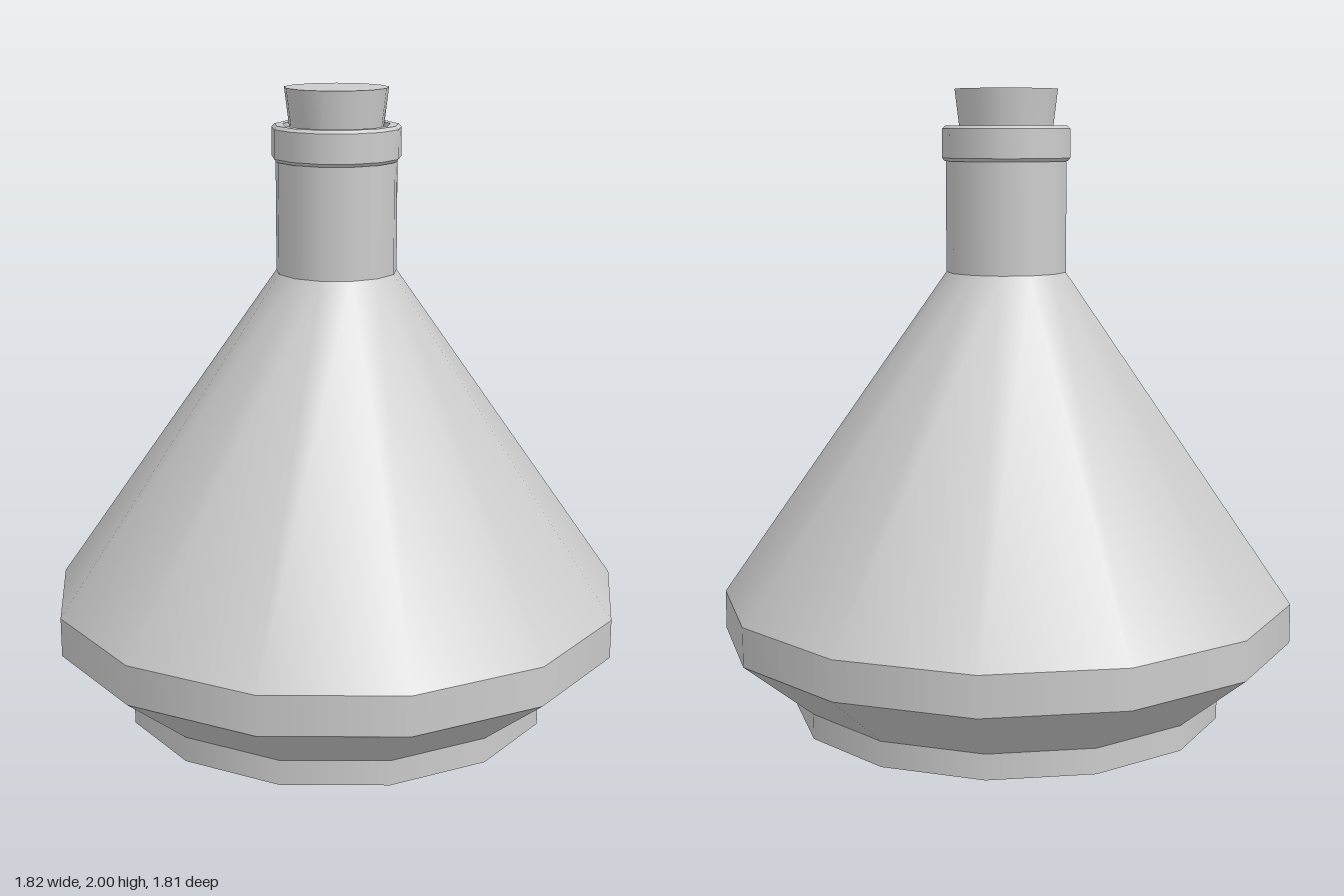
import * as THREE from 'three';

const SIDES = 13;

export function createModel() {
  const grey = new THREE.MeshStandardMaterial({ color: 0xcccccc });
  grey.name = 'plain grey';
  const flask = new THREE.Group();
  flask.name = 'flask';

  // One 13-sided tapered band with a corner at the back; every ring is
  // shifted slightly so that its depth is centred on z = 0.
  function band(parent, name, r0, y0, r1, y1) {
    const h = y1 - y0;
    const geo = new THREE.CylinderGeometry(r1, r0, h, SIDES, 1, true, Math.PI);
    geo.translate(0, (y0 + y1) / 2, 0);
    const p = geo.attributes.position;
    for (let i = 0; i < p.count; i++) {
      p.setZ(i, p.getZ(i) + 0.0145 * Math.hypot(p.getX(i), p.getZ(i)));
    }
    add(parent, name, geo);
  }

  // Flat horizontal disc or ring, facing up or down
  function disc(parent, name, inner, outer, y, up = true) {
    const start = up ? Math.PI / 2 : -Math.PI / 2;
    const geo = inner > 0
      ? new THREE.RingGeometry(inner, outer, SIDES, 1, start)
      : new THREE.CircleGeometry(outer, SIDES, start);
    geo.rotateX(up ? -Math.PI / 2 : Math.PI / 2);
    // put a corner at the back, whichever way the disc faces
    if (!up) geo.rotateY(0);
    const p = geo.attributes.position;
    for (let i = 0; i < p.count; i++) {
      p.setZ(i, p.getZ(i) + 0.0145 * Math.hypot(p.getX(i), p.getZ(i)));
    }
    geo.translate(0, y, 0);
    add(parent, name, geo);
  }

  function add(parent, name, geo) {
    const mesh = new THREE.Mesh(geo, grey);
    mesh.name = name;
    parent.add(mesh);
  }

  function part(name) {
    const group = new THREE.Group();
    group.name = name;
    flask.add(group);
    return group;
  }

  // Foot
  const foot = part('foot');
  disc(foot, 'footBottom', 0, 0.69, 0, false);
  band(foot, 'footWall', 0.69, 0, 0.69, 0.08);

  // Body: flared underside, upright belly band and long shoulder cone
  const body = part('body');
  band(body, 'underside', 0.69, 0.08, 0.917, 0.265);
  band(body, 'bellyBand', 0.917, 0.265, 0.917, 0.39);
  band(body, 'shoulder', 0.917, 0.39, 0.191, 1.43);

  // Neck
  const neck = part('neck');
  band(neck, 'neckWall', 0.191, 1.43, 0.191, 1.785);

  // Lip with small bevels and a hollow mouth
  const lip = part('lip');
  disc(lip, 'lipBottom', 0.185, 0.195, 1.777, false);
  band(lip, 'lipLowerBevel', 0.195, 1.777, 0.203, 1.787);
  band(lip, 'lipWall', 0.203, 1.787, 0.203, 1.877);
  band(lip, 'lipUpperBevel', 0.203, 1.877, 0.193, 1.887);
  disc(lip, 'lipTop', 0.168, 0.193, 1.887);
  const mouth = new THREE.CylinderGeometry(0.168, 0.168, 0.137, SIDES, 1, true, Math.PI);
  mouth.scale(-1, 1, 1);
  // reverse the corner order so that the wall faces inwards
  const order = mouth.index.array;
  for (let i = 0; i < order.length; i += 3) {
    [order[i + 1], order[i + 2]] = [order[i + 2], order[i + 1]];
  }
  mouth.scale(-1, 1, 1);
  const n = mouth.attributes.normal;
  for (let i = 0; i < n.count; i++) n.setXYZ(i, -n.getX(i), -n.getY(i), -n.getZ(i));
  mouth.translate(0, 1.8185, 0.0025);
  add(lip, 'mouthWall', mouth);
  disc(lip, 'mouthFloor', 0, 0.168, 1.75);

  // Tapered stopper
  const stopper = part('stopper');
  band(stopper, 'stopperWall', 0.132, 1.75, 0.163, 2);
  disc(stopper, 'stopperTop', 0, 0.163, 2);

  return flask;
}
